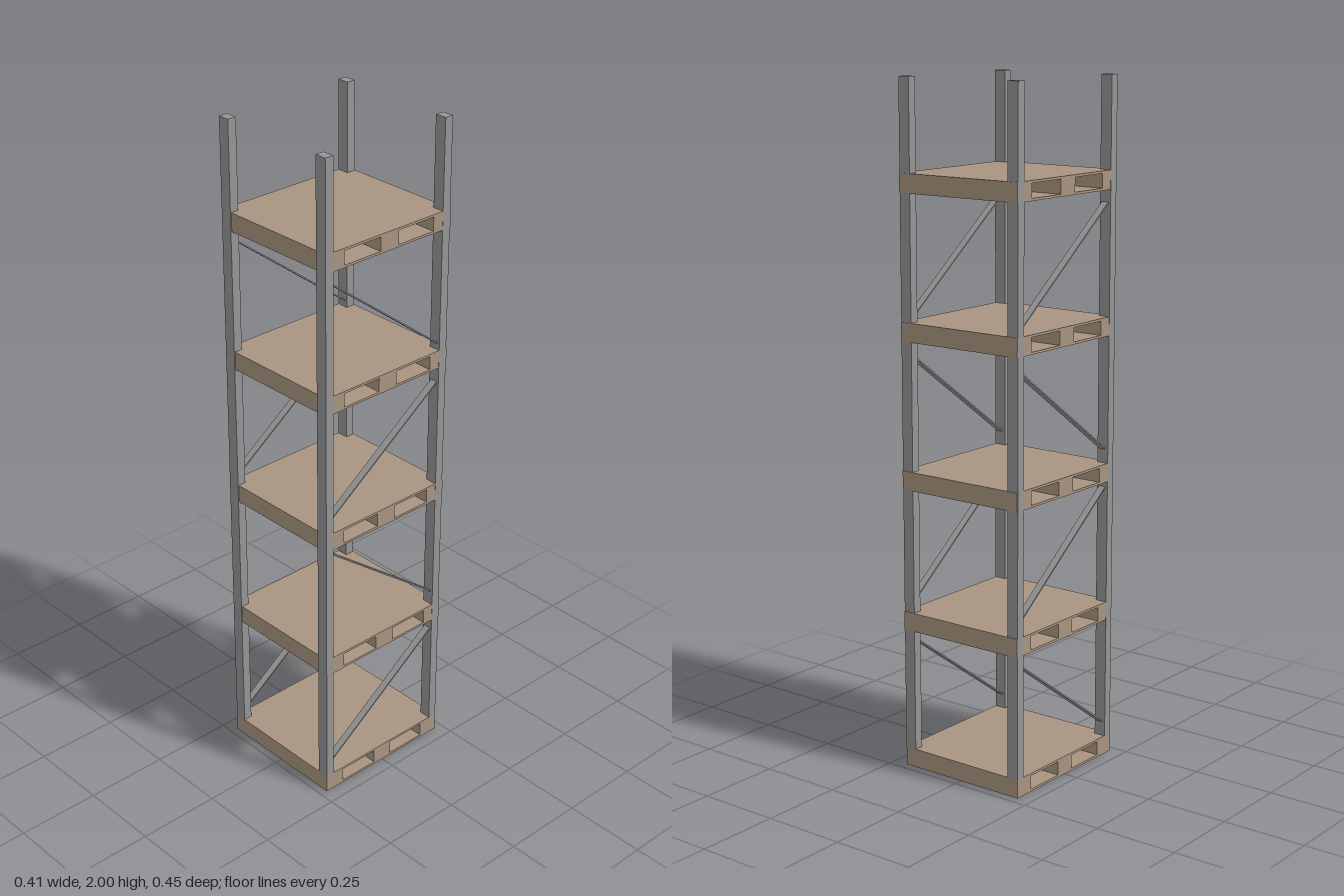
import * as THREE from 'three';

const HALF_X = 0.206, HALF_Z = 0.2275;
const POST_X = 0.036, POST_Z = 0.027;
const DECK_H = 0.055;

export function createModel() {
  const root = new THREE.Group();
  root.name = 'shelfTower';
  const wood = new THREE.MeshStandardMaterial({ color: 0xa89480 });
  wood.name = 'wood brown';
  const steel = new THREE.MeshStandardMaterial({ color: 0x959595 });
  steel.name = 'steel grey';

  const add = (name, geometry, material, x, y, z) => {
    const mesh = new THREE.Mesh(geometry, material);
    mesh.name = name;
    mesh.position.set(x, y, z);
    root.add(mesh);
    return mesh;
  };

  // Hollow deck: side profile with two fork slots, extruded across the width
  const rect = (shape, u0, v0, u1, v1) => {
    shape.moveTo(u0, v0);
    shape.lineTo(u1, v0);
    shape.lineTo(u1, v1);
    shape.lineTo(u0, v1);
    shape.closePath();
    return shape;
  };
  const deckLength = HALF_Z * 2 - 0.003;
  const profile = rect(new THREE.Shape(), -deckLength / 2, 0, deckLength / 2, DECK_H);
  for (const s of [-1, 1]) {
    profile.holes.push(rect(new THREE.Path(), s * 0.033, 0.007, s * 0.162, 0.048));
  }
  const deckWidth = HALF_X * 2 - 0.001;
  const deckGeometry = new THREE.ExtrudeGeometry(profile, { depth: deckWidth, bevelEnabled: false });
  deckGeometry.translate(0, 0, -deckWidth / 2);
  deckGeometry.rotateY(-Math.PI / 2);

  // Upper decks sit slightly further back than the base
  [0, 0.418, 0.837, 1.266, 1.682].forEach((y, i) => {
    add(i ? 'shelf' : 'baseShelf', deckGeometry, wood, 0, y, i ? -0.0015 : 0.0015);
  });

  // Four corner posts standing on the base
  const postGeometry = new THREE.BoxGeometry(POST_X, 2 - DECK_H, POST_Z);
  const postX = HALF_X - POST_X / 2;
  for (const sx of [-1, 1]) {
    add('frontPost', postGeometry, steel, sx * postX, 1 + DECK_H / 2, HALF_Z - POST_Z / 2);
    add('backPost', postGeometry, steel, sx * postX, 1 + DECK_H / 2, -HALF_Z + 0.0025 + POST_Z / 2);
  }

  // Flat diagonal braces zigzagging up both sides: [front height, back height]
  const bays = [[0.1, 0.385], [0.82, 0.517], [0.935, 1.22], [1.645, 1.34]];
  const span = 0.4;
  for (const [front, back] of bays) {
    const rise = back - front;
    const geometry = new THREE.BoxGeometry(0.022, 0.004, Math.hypot(span, rise));
    for (const sx of [-1, 1]) {
      const brace = add('diagonalBrace', geometry, steel, sx * postX, (front + back) / 2, 0);
      brace.rotation.x = Math.atan2(rise, span);
    }
  }
  return root;
}
